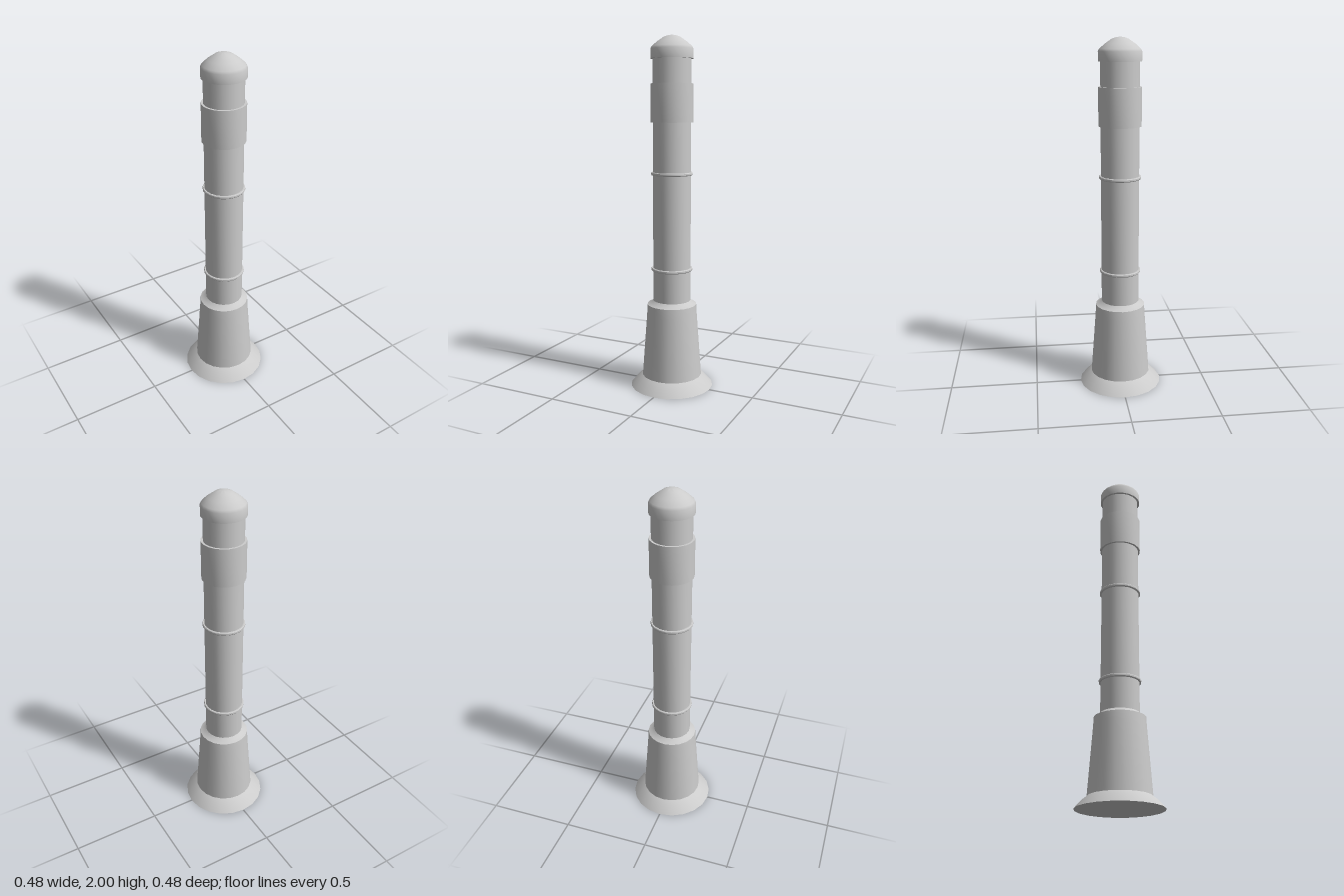
import * as THREE from 'three';
import { toCreasedNormals } from 'three/addons/utils/BufferGeometryUtils.js';

const SIDES = 20;

export function createModel() {
  const group = new THREE.Group();
  const material = new THREE.MeshStandardMaterial({ color: 0xcccccc });

  // Turned part from [radius, height] pairs, listed bottom to top
  function turned(name, profile, y = 0) {
    const points = profile.map(([r, h]) => new THREE.Vector2(r, h));
    const geometry = toCreasedNormals(new THREE.LatheGeometry(points, SIDES), 0.6);
    const mesh = new THREE.Mesh(geometry, material);
    mesh.name = name;
    mesh.position.y = y;
    group.add(mesh);
  }

  // Flared foot and tapered base with a chamfered shoulder
  turned('base', [
    [0, 0], [0.238, 0], [0.197, 0.045], [0.172, 0.065],
    [0.145, 0.43], [0.142, 0.485], [0.122, 0.494], [0.108, 0.508],
  ]);

  // Main post
  turned('post', [[0.108, 0.49], [0.108, 1.89]]);

  // Two thin raised rings
  for (const [name, y] of [['lowerRing', 0.683], ['upperRing', 1.231]]) {
    turned(name, [
      [0.107, 0], [0.115, 0], [0.118, 0.004], [0.118, 0.013], [0.115, 0.017], [0.107, 0.017],
    ], y);
  }

  // Wide band near the top
  turned('band', [[0.107, 1.525], [0.12, 1.525], [0.12, 1.738], [0.107, 1.738]]);

  // Domed cap
  turned('cap', [
    [0.107, 1.873], [0.12, 1.873], [0.12, 1.925], [0.113, 1.938],
    [0.083, 1.964], [0.045, 1.99], [0.022, 1.998], [0, 2],
  ]);

  return group;
}
